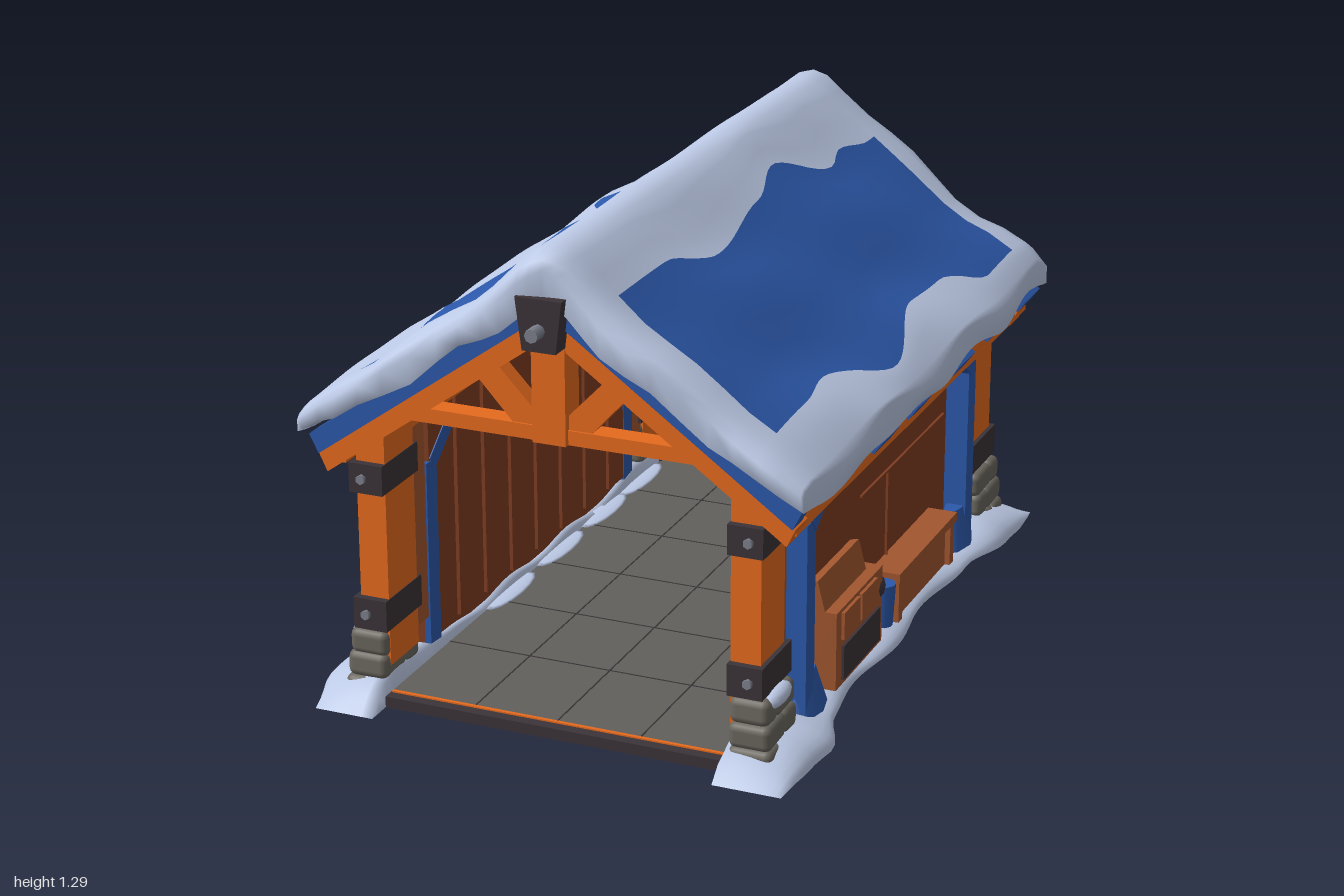
import * as THREE from 'three';
import { RoundedBoxGeometry } from 'three/addons/geometries/RoundedBoxGeometry.js';

const mat = (name, color) => Object.assign(new THREE.MeshStandardMaterial({ color }), { name });
const mix = THREE.MathUtils.lerp;

// Smooth reading of a short [position, value] table
const sample = (table, x) => {
  const i = Math.max(1, table.findIndex(p => p[0] >= x));
  const [a, b] = [table[i - 1], table[i]];
  return mix(a[1], b[1], THREE.MathUtils.smoothstep(x, a[0], b[0]));
};

// Skin a stack of closed rings of L points; pick(j, k) gives the index list for each quad
const skin = (rows, L, pick) => {
  for (let j = 0; j < rows - 1; j++) for (let k = 0; k < L; k++) {
    const a = j * L + k, b = j * L + (k + 1) % L;
    pick(j, k).push(a, a + L, b, b, a + L, b + L);
  }
};
const surface = (pos, idx) => {
  const g = new THREE.BufferGeometry();
  g.setAttribute('position', new THREE.Float32BufferAttribute(pos, 3));
  g.setIndex(idx);
  g.computeVertexNormals();
  return g;
};

export function createModel() {
  const root = new THREE.Group();
  root.name = 'snowyGarage';
  const snow = mat('snow', 0xbdcae6);
  const blue = mat('bluePaint', 0x2c58aa);
  const orange = mat('orangeTimber', 0xe66a1e);
  const brown = mat('brownBoards', 0x7f3d22);
  const crate = mat('crateWood', 0xa1562f);
  const iron = mat('darkIron', 0x3b3338);
  const stone = mat('stone', 0x6b675f);
  const concrete = mat('concrete', 0x62605b);
  const steel = mat('steel', 0x7c808c);

  const add = (name, geo, m, x = 0, y = 0, z = 0) => {
    const mesh = new THREE.Mesh(geo, m);
    mesh.name = name;
    mesh.position.set(x, y, z);
    root.add(mesh);
    return mesh;
  };
  // Box given by its limits along each axis
  const box = (name, m, x0, x1, y0, y1, z0, z1) =>
    add(name, new THREE.BoxGeometry(Math.abs(x1 - x0), y1 - y0, Math.abs(z1 - z0)), m, (x0 + x1) / 2, (y0 + y1) / 2, (z0 + z1) / 2);
  // Polygon in the front plane, extruded from z0 to z1
  const slab = (name, m, pts, z0, z1) => {
    const shape = new THREE.Shape(pts.map(p => new THREE.Vector2(...p)));
    return add(name, new THREE.ExtrudeGeometry(shape, { depth: z1 - z0, bevelEnabled: false }), m, 0, 0, z0);
  };
  // Inverted V following the roof pitch
  const chevron = (name, m, yTop, yBot, xTop, xBot, z0, z1) => slab(name, m, [
    [0, yTop], [-xTop, yTop - 0.715 * xTop], [-xBot, yBot - 0.715 * xBot],
    [0, yBot], [xBot, yBot - 0.715 * xBot], [xTop, yTop - 0.715 * xTop]], z0, z1);

  // Floor slab with tile joints
  box('floorBase', iron, -0.47, 0.47, 0, 0.03, -0.92, 0.92);
  box('floor', concrete, -0.465, 0.465, 0.03, 0.033, -0.85, 0.88);
  box('floorLip', orange, -0.465, 0.465, 0.03, 0.034, 0.88, 0.89);
  for (const x of [-0.23, 0, 0.23]) box('floorJoint', iron, x - 0.002, x + 0.002, 0.03, 0.034, -0.85, 0.88);
  for (let z = -0.6; z < 0.8; z += 0.29) box('floorJoint', iron, -0.465, 0.465, 0.03, 0.034, z - 0.002, z + 0.002);

  // Shutter of chamfered slats across the back
  const pitch = 0.0608, tall = pitch - 0.004;
  for (let i = 0; i < 12; i++) {
    const slat = slab('shutterSlat', blue, [[-0.006, 0], [0.006, 0], [0.016, 0.012], [0.016, tall - 0.012],
      [0.006, tall], [-0.006, tall], [-0.016, tall - 0.012], [-0.016, 0.012]], 0, 0.928);
    slat.rotation.y = Math.PI / 2;
    slat.position.set(-0.464, 0.034 + i * pitch, -0.856);
  }
  box('shutterHousing', blue, -0.464, 0.464, 0.764, 0.79, -0.88, -0.835);
  for (const s of [-1, 1]) box('shutterRail', iron, s * 0.462, s * 0.473, 0.03, 0.795, -0.878, -0.835);

  for (const s of [-1, 1]) {
    // Side wall, boards and plates
    box('sideWall', brown, s * 0.49, s * 0.515, 0.04, 0.78, -0.65, 0.65);
    for (let i = 0; i < 8; i++) box('innerBoard', brown, s * 0.476, s * 0.49, 0.07, 0.74, -0.63 + i * 0.16, -0.49 + i * 0.16);
    box('wallRail', brown, s * 0.515, s * 0.522, 0.427, 0.433, -0.56, 0.1);
    box('wallSeam', brown, s * 0.515, s * 0.522, 0.18, 0.43, -0.108, -0.102);
    box('wallPlate', orange, s * 0.47, s * 0.55, 0.7, 0.77, -0.86, 0.86);
    box('eaveBeam', orange, s * 0.585, s * 0.635, 0.638, 0.7, -0.92, 0.87);

    for (const e of [-1, 1]) {
      // Corner post on stones, with iron straps, and a thinner post behind it
      box('cornerPost', orange, s * 0.47, s * 0.55, 0.1, 0.78, e * 0.725, e * 0.88);
      box('innerPost', crate, s * 0.478, s * 0.525, 0.14, 0.78, e * 0.65, e * 0.725);
      for (const [y0, y1] of [[0.2, 0.285], [0.575, 0.655]]) {
        box('postStrap', iron, s * 0.468, s * 0.562, y0, y1, e * 0.705, e * 0.9);
        const bolt = add('strapBolt', new THREE.CylinderGeometry(0.013, 0.013, 0.016, 6), steel, s * 0.525, (y0 + y1) / 2, e * 0.903);
        bolt.rotation.x = Math.PI / 2;
      }
      for (let i = 0; i < 6; i++) {
        const row = Math.floor(i / 2), near = i % 2, split = row % 2 ? 0.79 : 0.83;
        const z0 = near ? split : 0.715, z1 = near ? 0.91 - row * 0.006 : split;
        const st = add('footStone', new RoundedBoxGeometry(0.12 - row * 0.006, 0.07, z1 - z0 + 0.004, 2, 0.02), stone,
          s * (0.531 - row * 0.003), 0.032 + row * 0.064, e * (z0 + z1) / 2);
        st.rotation.x = 0.06 * Math.sin(i * 2 + s);
      }
      if (e > 0) add('stoneSnowCap', new THREE.SphereGeometry(1, 14, 8), snow, s * 0.565, 0.18, 0.81).scale.set(0.028, 0.024, 0.075);

      // Blue side frame with knee brace and splayed foot
      box('sideFrame', blue, s * 0.473, s * 0.58, 0.04, 0.57, e * 0.592, e * 0.65);
      const knee = box('kneeBrace', blue, s * 0.473, s * 0.585, 0.53, 0.685, e * 0.53, e * 0.577);
      knee.rotation.x = -e * 0.9;
      const foot = add('frameFoot', new THREE.CylinderGeometry(0.045, 0.095, 0.11, 8), blue, s * 0.55, 0.095, e * 0.58);
      foot.scale.x = 0.55;
    }

    // Cabinet with sloping lid and dark drawer
    box('cabinet', crate, s * 0.515, s * 0.597, 0.05, 0.265, 0.14, 0.48);
    const lid = box('cabinetLid', crate, s * 0.53, s * 0.555, 0.26, 0.345, 0.18, 0.48);
    lid.rotation.z = s * 0.25;
    box('cabinetDrawer', iron, s * 0.597, s * 0.604, 0.065, 0.16, 0.17, 0.44);
    for (const z of [0.2, 0.33]) box('cabinetDoor', crate, s * 0.597, s * 0.606, 0.18, 0.255, z, z + 0.115);
    add('sack', new THREE.IcosahedronGeometry(0.045, 1), iron, s * 0.56, 0.2, 0.14);
    // Low bench box
    box('bench', crate, s * 0.515, s * 0.58, 0.04, 0.16, -0.45, 0);
    box('benchTop', crate, s * 0.515, s * 0.6, 0.16, 0.185, -0.46, 0.01);
    for (const z of [-0.45, -0.03]) box('benchEnd', crate, s * 0.58, s * 0.595, 0.04, 0.16, z, z + 0.03);
    add('bucket', new THREE.CylinderGeometry(0.035, 0.028, 0.12, 10), blue, s * 0.565, 0.11, 0.045);

    // Continuous drift along the wall, swelling at the corners
    const drift = [], driftIdx = [];
    for (let j = 0; j <= 48; j++) {
      const z = mix(-0.965, 0.995, j / 48);
      const c = THREE.MathUtils.smoothstep(Math.abs(z), 0.52, 0.72);
      const edge = Math.max(0, Math.min(1, (0.98 - Math.abs(z - 0.015)) / 0.14));
      const h = (0.046 + 0.008 * Math.sin(z * 17 + s) + 0.03 * c) * Math.sqrt(edge);
      const out = 0.6 + 0.014 * Math.sin(z * 12 + s) + c * (0.045 + 0.03 * edge);
      const ring = [[0.468, 0], [0.468, 0]];
      for (let i = 0; i <= 8; i++) {
        const u = Math.sin(i / 8 * Math.PI / 2);
        ring.push([mix(0.468, out, u), h * Math.sqrt(1 - u * u)]);
      }
      ring.push([out, 0]);
      if (s < 0) ring.reverse();
      for (const [x, y] of ring) drift.push(s * x, y, z);
    }
    skin(49, 12, () => driftIdx);
    add('wallDrift', surface(drift, driftIdx), snow);
    // Snow blown in along the inside of the wall
    for (const z of [-0.68, -0.42, -0.12, 0.2])
      add('blownSnow', new THREE.SphereGeometry(1, 14, 6), snow, s * 0.46, 0.033, z).scale.set(0.035, 0.007, 0.14);

    // Plank ends peeping out beneath the eave snow
    for (const z of [0.64, 0.33, 0.07, -0.27, -0.57, -0.84]) {
      const end = box('roofPlankEnd', blue, s * 0.6, s * 0.675, 0.695, 0.74, z - 0.06, z + 0.06);
      end.rotation.z = -s * 0.62;
    }
  }

  // Lattice window on the right-hand wall
  for (let i = 0; i < 2; i++) for (let j = 0; j < 3; j++)
    box('windowPane', crate, -0.515, -0.523, 0.36 + j * 0.06, 0.41 + j * 0.06, 0.02 + i * 0.07, 0.08 + i * 0.07);

  // Roof boards, lining and gable trusses
  chevron('roofBoards', blue, 1.195, 1.13, 0.63, 0.62, -0.85, 0.85);
  chevron('roofLining', brown, 1.132, 1.112, 0.61, 0.6, -0.82, 0.82);
  for (const e of [-1, 1]) {
    const z0 = e > 0 ? 0.82 : -0.9, z1 = z0 + 0.08;
    chevron('gableBoards', blue, 1.195, 1.128, 0.665, 0.64, e > 0 ? 0.85 : -0.91, e > 0 ? 0.91 : -0.85);
    chevron('rafters', orange, 1.13, 1.065, 0.645, 0.622, z0, z1);
    box('tieBeam', orange, -0.47, 0.47, 0.79, 0.828, z0 + 0.01, z1 - 0.01);
    box('kingPost', orange, -0.045, 0.045, 0.79, 1.07, z0 + 0.005, z1 + 0.005);
    for (const s of [-1, 1]) {
      slab('trussStrut', orange, [[s * 0.04, 0.82], [s * 0.1, 0.82], [s * 0.205, 0.935], [s * 0.15, 0.975], [s * 0.04, 0.86]], z0 + 0.015, z1 - 0.015);
      if (e < 0) slab('gablePanel', brown, [[s * 0.06, 0.82], [s * 0.4, 0.8], [s * 0.19, 0.95]], z0 + 0.03, z0 + 0.045);
    }
    // Ridge bracket and bolt
    slab('ridgeBracket', iron, [[-0.062, 1.18], [-0.045, 1.045], [0.045, 1.045], [0.062, 1.18]], e > 0 ? 0.86 : -0.955, e > 0 ? 0.955 : -0.86);
    const bolt = add('ridgeBolt', new THREE.CylinderGeometry(0.018, 0.018, 0.05, 8), steel, 0, 1.1, e * 0.972);
    bolt.rotation.x = Math.PI / 2;
  }

  // Plain scalloped plaque hung on the back
  for (const [name, r, d, z, m] of [['plaqueFace', 0.082, 0.04, -0.945, iron], ['plaqueInset', 0.064, 0.008, -0.966, brown], ['plaqueBoss', 0.034, 0.016, -0.968, orange]]) {
    const disc = add(name, new THREE.CylinderGeometry(r, r, d, 20), m, 0, 0.995, z);
    disc.rotation.x = Math.PI / 2;
  }
  const rim = new THREE.Shape();
  for (let i = 0; i < 48; i++) {
    const a = i / 48 * Math.PI * 2, r = 0.094 + 0.007 * Math.cos(a * 12);
    rim[i ? 'lineTo' : 'moveTo'](r * Math.cos(a), r * Math.sin(a));
  }
  add('plaqueRim', new THREE.ExtrudeGeometry(rim, { depth: 0.022, bevelEnabled: false }), snow, 0, 0.995, -0.956);

  // Snow blanket with blown-clear blue patches on both slopes
  const prof = [[0, 1.288], [0.05, 1.275], [0.1, 1.225], [0.18, 1.15], [0.25, 1.1], [0.33, 1.05], [0.41, 0.98], [0.5, 0.912], [0.58, 0.875], [0.65, 0.83], [0.678, 0.8], [0.71, 0.765]];
  const top = x => {
    const i = Math.max(1, prof.findIndex(p => p[0] >= x));
    const [a, b] = [prof[i - 1], prof[i]];
    return mix(a[1], b[1], (x - a[0]) / (b[0] - a[0]));
  };
  // Patch borders along z: outer and inner, for each slope
  const outer = {
    '-1': [[-1, 0.63], [-0.76, 0.63], [-0.61, 0.568], [-0.48, 0.58], [-0.29, 0.54], [-0.08, 0.555], [0.2, 0.63], [0.4, 0.55], [0.58, 0.535], [1, 0.575]],
    '1': [[-1, 0.63], [-0.6, 0.624], [-0.4, 0.55], [-0.18, 0.55], [0.16, 0.63], [0.45, 0.54], [0.63, 0.566], [1, 0.566]],
  };
  const inner = {
    '-1': [[-1, 0.22], [-0.8, 0.21], [-0.69, 0.164], [-0.53, 0.19], [-0.21, 0.128], [0.03, 0.164], [0.21, 0.154], [0.4, 0.2], [0.61, 0.16], [1, 0.154]],
    '1': [[-1, 0.22], [-0.76, 0.21], [-0.6, 0.18], [-0.5, 0.2], [-0.24, 0.127], [-0.03, 0.17], [0.34, 0.206], [0.55, 0.16], [1, 0.153]],
  };
  const rows = [[-0.935, 0.4], [-0.915, 0.75], [-0.87, 1]];
  for (let i = 0; i <= 48; i++) rows.push([mix(-0.8, 0.83, i / 48), 1]);
  rows.push([0.88, 1], [0.92, 0.75], [0.94, 0.4]);
  const pos = [];
  let n = 0;
  rows.forEach(([z, f], j) => {
    const half = s => {
      const bo = sample(outer[s], z), bi = sample(inner[s], z);
      const edge = 0.687 + 0.006 * Math.sin(z * 11 + s);
      return [edge, 0.674, mix(0.674, bo, 0.5), bo, ...[0.17, 0.33, 0.5, 0.67, 0.83].map(t => mix(bo, bi, t)), bi, mix(bi, 0, 0.3), mix(bi, 0, 0.6), mix(bi, 0, 0.8)];
    };
    const xs = [...half(-1).map(x => -x), 0, ...half(1).reverse()];
    n = xs.length;
    const end = j < 2 || j > rows.length - 3 ? 1 : 0;
    const low = x => {
      const r = Math.abs(x), eave = THREE.MathUtils.smoothstep(r, 0.5, 0.66);
      return 1.185 - 0.69 * r + end * (1 - eave) * (0.014 * Math.sin(x * 24 + 1) - 0.018) + eave * (0.012 + 0.012 * Math.sin(z * 14));
    };
    const zAt = x => z + end * 0.012 * Math.sin(x * 17 + j);
    for (const x of xs) {
      const t = top(Math.abs(x)) + 0.009 * Math.sin(z * 9 + x * 15) * Math.min(1, Math.abs(x) * 4);
      pos.push(x, mix(low(x), t, 0.35 + 0.65 * f), zAt(x));
    }
    for (const x of [...xs].reverse()) pos.push(x, low(x), zAt(x));
  });
  const snowIdx = [], blueIdx = [], L = 2 * n;
  const isClear = (j, k) => j >= 3 && j < 51 && ((k >= 3 && k < 9) || (k >= n - 10 && k < n - 4));
  skin(rows.length, L, (j, k) => isClear(j, k) ? blueIdx : snowIdx);
  // Close both gable ends
  const last = (rows.length - 1) * L;
  for (let i = 0; i < n - 1; i++) {
    const [a, b, c, d] = [i, i + 1, L - 2 - i, L - 1 - i];
    snowIdx.push(a, b, c, a, c, d, last + a, last + c, last + b, last + a, last + d, last + c);
  }
  const blanket = surface(pos, [...snowIdx, ...blueIdx]);
  blanket.addGroup(0, snowIdx.length, 0);
  blanket.addGroup(snowIdx.length, blueIdx.length, 1);
  add('roofSnow', blanket, [snow, blue]);

  return root;
}
